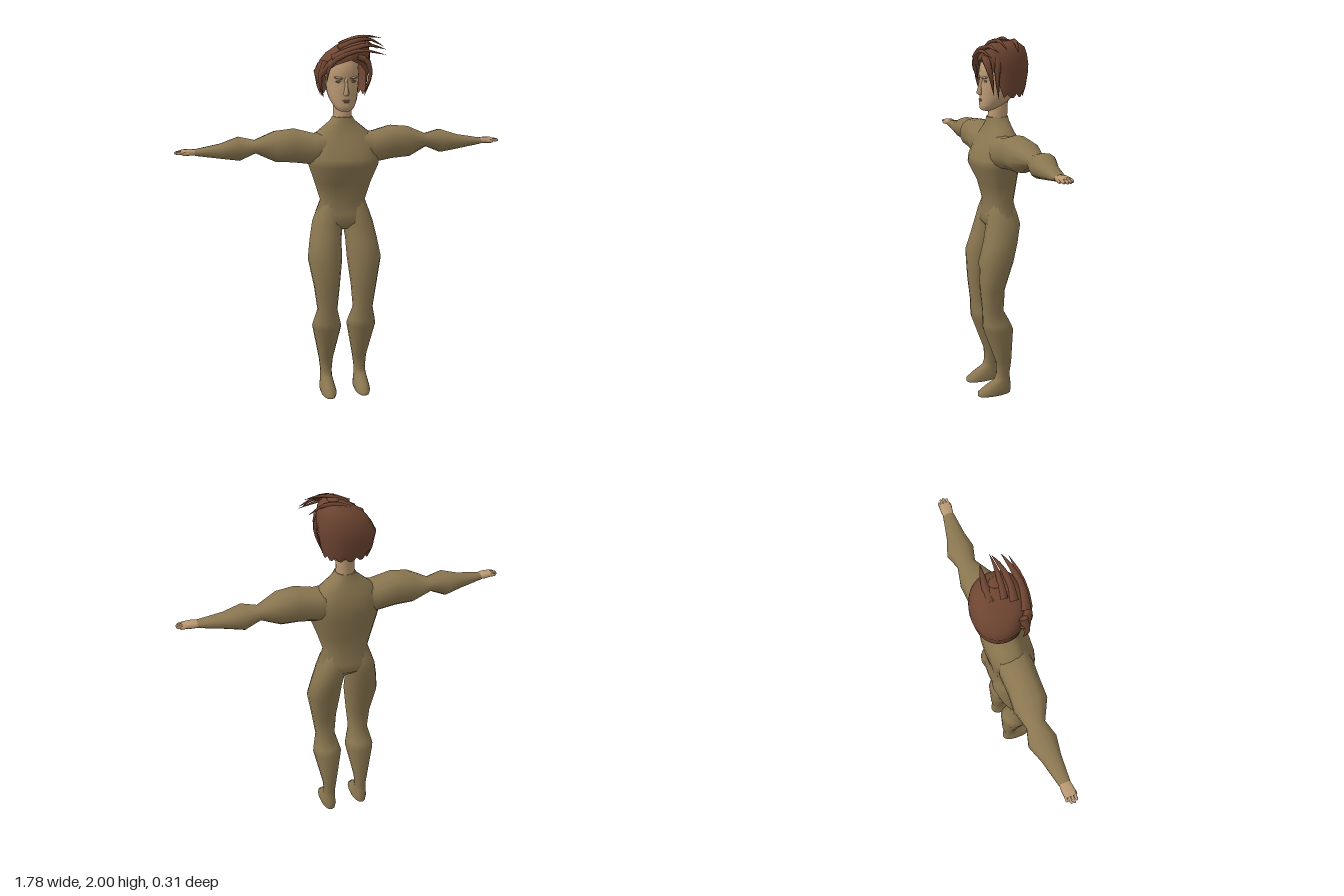
import * as THREE from 'three';

const mat = (name, color, side = THREE.FrontSide) => {
  const m = new THREE.MeshStandardMaterial({ color, side });
  m.name = name;
  return m;
};

// Skin a list of rings (equal point counts); optional open seam and end caps
function loft(rings, closed = true, caps = true) {
  const n = rings[0].length, pos = [], idx = [];
  rings.forEach(r => r.forEach(p => pos.push(p.x, p.y, p.z)));
  for (let i = 0; i < rings.length - 1; i++) {
    for (let j = 0; j < (closed ? n : n - 1); j++) {
      const k = (j + 1) % n, a = i * n + j, b = i * n + k;
      idx.push(a, b, b + n, a, b + n, a + n);
    }
  }
  if (caps) [0, rings.length - 1].forEach((r, end) => {
    const c = new THREE.Vector3();
    rings[r].forEach(p => c.addScaledVector(p, 1 / n));
    const base = pos.length / 3;
    pos.push(c.x, c.y, c.z);
    rings[r].forEach(p => pos.push(p.x, p.y, p.z));
    for (let j = 0; j < n; j++) {
      const a = base + 1 + j, b = base + 1 + (j + 1) % n;
      end ? idx.push(base, a, b) : idx.push(base, b, a);
    }
  });
  const g = new THREE.BufferGeometry();
  g.setAttribute('position', new THREE.Float32BufferAttribute(pos, 3));
  g.setIndex(idx);
  g.computeVertexNormals();
  return g;
}

const pw = (v, p) => Math.sign(v) * Math.abs(v) ** p;

// Horizontal ring at height y; gap leaves an opening at the front
function ringY([y, x0, x1, z0, z1, gap = 0], n, p = 1, open = false) {
  return Array.from({ length: n }, (_, j) => {
    const t = open ? gap + (2 * Math.PI - 2 * gap) * j / (n - 1) : 2 * Math.PI * j / n;
    return new THREE.Vector3((x0 + x1) / 2 + (x1 - x0) / 2 * pw(Math.sin(t), p), y,
      (z0 + z1) / 2 + (z1 - z0) / 2 * pw(Math.cos(t), p));
  });
}

// Upright ring at position x along the arm
function ringX([x, y0, y1, z0, z1], n, p = 1) {
  return Array.from({ length: n }, (_, j) => {
    const t = 2 * Math.PI * j / n;
    return new THREE.Vector3(x, (y0 + y1) / 2 + (y1 - y0) / 2 * pw(Math.cos(t), p),
      (z0 + z1) / 2 + (z1 - z0) / 2 * pw(Math.sin(t), p));
  });
}

function mirrored(geometry) {
  const g = geometry.clone().scale(-1, 1, 1), ix = g.index.array;
  for (let i = 0; i < ix.length; i += 3) [ix[i], ix[i + 1]] = [ix[i + 1], ix[i]];
  g.computeVertexNormals();
  return g;
}

// Pointed strand of hair along a curve
function lock(points, w) {
  const curve = new THREE.CatmullRomCurve3(points.map(p => new THREE.Vector3(...p)));
  const steps = 7, sides = 5, f = curve.computeFrenetFrames(steps);
  return loft(Array.from({ length: steps + 1 }, (_, i) => {
    const t = i / steps, r = w * Math.max(0.02, (1 - t) ** 0.8), c = curve.getPointAt(t);
    return Array.from({ length: sides }, (_, j) => {
      const a = 2 * Math.PI * j / sides;
      return c.clone().addScaledVector(f.normals[i], r * Math.cos(a))
        .addScaledVector(f.binormals[i], r * 0.75 * Math.sin(a));
    });
  }));
}

export function createModel() {
  const root = new THREE.Group();
  root.name = 'figure';
  const suit = mat('suit', 0x8a7650), skin = mat('skin', 0xba9873);
  const hair = mat('hair', 0x6e4531, THREE.DoubleSide);
  const eye = mat('eye', 0x6f6048), lip = mat('lip', 0x9c765c);
  const add = (name, g, m, parent = root) => {
    const mesh = new THREE.Mesh(g, m);
    mesh.name = name;
    parent.add(mesh);
    return mesh;
  };
  const pair = (name, g, m) => {
    add('left' + name, g, m);
    add('right' + name, mirrored(g), m);
  };

  // Torso: y, half width, back z, front z
  add('torso', loft([
    [0.965, 0.06, -0.05, 0.06], [1.0, 0.145, -0.088, 0.088], [1.05, 0.15, -0.09, 0.085],
    [1.12, 0.124, -0.075, 0.075], [1.22, 0.155, -0.086, 0.1], [1.32, 0.19, -0.098, 0.148],
    [1.36, 0.195, -0.102, 0.142], [1.42, 0.19, -0.103, 0.115], [1.48, 0.155, -0.085, 0.085],
    [1.52, 0.105, -0.07, 0.07], [1.55, 0.068, -0.06, 0.062], [1.575, 0.052, -0.055, 0.058],
  ].map(([y, w, b, f]) => ringY([y, -w, w, b, f], 20, 0.86)), true, true), suit);

  // Legs with feet: y, inner x, outer x, back z, front z
  pair('Leg', loft([
    [0, 0.058, 0.138, -0.04, 0.155], [0.018, 0.053, 0.143, -0.042, 0.157],
    [0.05, 0.06, 0.138, -0.042, 0.115], [0.085, 0.066, 0.133, -0.036, 0.055],
    [0.12, 0.066, 0.131, -0.032, 0.043], [0.19, 0.058, 0.138, -0.042, 0.045],
    [0.4, 0.018, 0.18, -0.048, 0.12], [0.44, 0.028, 0.172, -0.03, 0.123],
    [0.51, 0.046, 0.156, 0.008, 0.125], [0.64, 0.034, 0.174, 0.004, 0.138],
    [0.8, 0.016, 0.203, -0.042, 0.144], [0.9, 0.014, 0.187, -0.07, 0.115],
    [1.0, 0.0, 0.166, -0.093, 0.092], [1.06, 0.0, 0.145, -0.08, 0.08],
    [1.12, 0.005, 0.118, -0.06, 0.06],
  ].map(r => ringY(r, 14, 0.9))), suit);

  // Arms: x, bottom y, top y, back z, front z
  pair('Arm', loft([
    [0.06, 1.33, 1.5, -0.07, 0.09], [0.16, 1.32, 1.49, -0.085, 0.1],
    [0.265, 1.335, 1.518, -0.085, 0.09], [0.365, 1.342, 1.507, -0.092, 0.088],
    [0.47, 1.39, 1.46, -0.068, 0.032], [0.555, 1.354, 1.481, -0.093, 0.055],
    [0.65, 1.37, 1.45, -0.06, 0.04], [0.785, 1.394, 1.427, -0.031, 0.03],
  ].map(r => ringX(r, 14, 0.9))), suit);

  // Hands with fingers and thumb
  pair('Hand', loft([
    [0.775, 1.397, 1.425, -0.028, 0.027], [0.81, 1.397, 1.429, -0.031, 0.033],
    [0.85, 1.402, 1.428, -0.03, 0.032], [0.856, 1.406, 1.424, -0.027, 0.029],
  ].map(r => ringX(r, 10, 0.7))), skin);
  [0.873, 0.887, 0.89, 0.882].forEach((tip, i) => {
    const z = -0.023 + i * 0.0155;
    pair('Finger' + (i + 1), loft([
      [0.845, 1.406, 1.425, z - 0.0075, z + 0.0075], [tip - 0.006, 1.405, 1.42, z - 0.007, z + 0.007],
      [tip, 1.408, 1.416, z - 0.004, z + 0.004],
    ].map(r => ringX(r, 8, 0.8))), skin);
  });
  pair('Thumb', loft([
    [0.8, 1.4, 1.42, 0.015, 0.03], [0.84, 1.4, 1.418, 0.024, 0.038], [0.853, 1.404, 1.413, 0.027, 0.036],
  ].map(r => ringX(r, 8))), skin);

  // Neck and head
  add('neck', loft([
    [1.56, 0.05, -0.052, 0.054], [1.64, 0.048, -0.055, 0.045], [1.7, 0.05, -0.07, 0.04],
  ].map(([y, w, b, f]) => ringY([y, -w, w, b, f], 16))), skin);
  add('head', loft([
    [1.61, 0.028, 0.045, 0.085], [1.622, 0.046, 0.005, 0.097], [1.64, 0.058, -0.03, 0.098],
    [1.67, 0.073, -0.07, 0.096], [1.7, 0.08, -0.105, 0.096], [1.75, 0.086, -0.122, 0.095],
    [1.772, 0.086, -0.126, 0.087], [1.795, 0.088, -0.128, 0.1], [1.85, 0.085, -0.124, 0.09],
    [1.9, 0.06, -0.09, 0.06],
  ].map(([y, w, b, f]) => ringY([y, -w, w, b, f], 20, 0.9))), skin);

  // Nose, lips, eyes and brows
  add('nose', loft([
    [1.692, -0.012, 0.012, 0.07, 0.104], [1.703, -0.015, 0.015, 0.07, 0.119],
    [1.74, -0.009, 0.009, 0.07, 0.107], [1.785, -0.008, 0.008, 0.07, 0.098],
  ].map(r => ringY(r, 8))), skin);
  const blob = (x, y, z, sx, sy, sz) => new THREE.SphereGeometry(1, 12, 8).scale(sx, sy, sz).translate(x, y, z);
  add('upperLip', blob(0, 1.668, 0.096, 0.021, 0.004, 0.006), lip);
  add('lowerLip', blob(0, 1.66, 0.095, 0.017, 0.004, 0.006), lip);
  pair('Eye', blob(0.037, 1.765, 0.081, 0.017, 0.006, 0.005), eye);
  pair('Brow', blob(0, 0, 0, 0.024, 0.006, 0.008).rotateZ(0.15).rotateY(0.3).translate(0.04, 1.785, 0.086), skin);

  // Hair cap open around the face: y, x range, z range, front gap angle
  const capRings = [
    [1.685, -0.112, 0.122, -0.13, 0.085, 1.3], [1.73, -0.13, 0.132, -0.145, 0.09, 1.12],
    [1.81, -0.145, 0.146, -0.157, 0.095, 0.85], [1.85, -0.125, 0.15, -0.155, 0.1, 0.45],
    [1.875, -0.108, 0.15, -0.15, 0.108, 0.0], [1.905, -0.082, 0.148, -0.142, 0.105, 0],
    [1.94, -0.03, 0.14, -0.122, 0.09, 0], [1.965, 0.015, 0.12, -0.085, 0.06, 0],
    [1.978, 0.05, 0.085, -0.03, 0.01, 0],
  ].map(r => ringY(r, 25, 0.92, true));
  capRings[0].forEach((p, j) => { p.y += j % 3 === 1 ? 0.018 : 0; });
  add('hairCap', loft(capRings, false, false), hair);
  add('crown', blob(0.067, 1.974, -0.01, 0.03, 0.008, 0.035), hair);

  // Swept strands across the top and hanging beside the face
  [
    [[[-0.12, 1.81, 0.055], [-0.05, 1.885, 0.1], [0.07, 1.925, 0.115], [0.205, 1.9, 0.11]], 0.03],
    [[[-0.07, 1.88, 0.08], [0.03, 1.93, 0.1], [0.12, 1.95, 0.09], [0.215, 1.925, 0.075]], 0.032],
    [[[-0.03, 1.93, 0.04], [0.06, 1.97, 0.05], [0.14, 1.975, 0.04], [0.218, 1.935, 0.03]], 0.026],
    [[[-0.01, 1.945, 0.0], [0.06, 1.98, 0.01], [0.13, 1.99, 0.015], [0.205, 1.98, 0.015]], 0.022],
    [[[0.0, 1.94, -0.06], [0.07, 1.97, -0.06], [0.13, 1.965, -0.05], [0.2, 1.92, -0.035]], 0.025],
    [[[0.06, 1.89, 0.09], [0.11, 1.87, 0.1], [0.13, 1.8, 0.085], [0.105, 1.7, 0.06]], 0.026],
    [[[0.12, 1.89, 0.04], [0.14, 1.8, 0.055], [0.11, 1.68, 0.035]], 0.022],
    [[[-0.1, 1.87, 0.06], [-0.132, 1.79, 0.065], [-0.113, 1.68, 0.055]], 0.024],
    [[[-0.05, 1.89, 0.09], [-0.09, 1.84, 0.095], [-0.1, 1.76, 0.075]], 0.024],
  ].forEach(([pts, w], i) => add('strand' + (i + 1), lock(pts, w), hair));

  return root;
}
